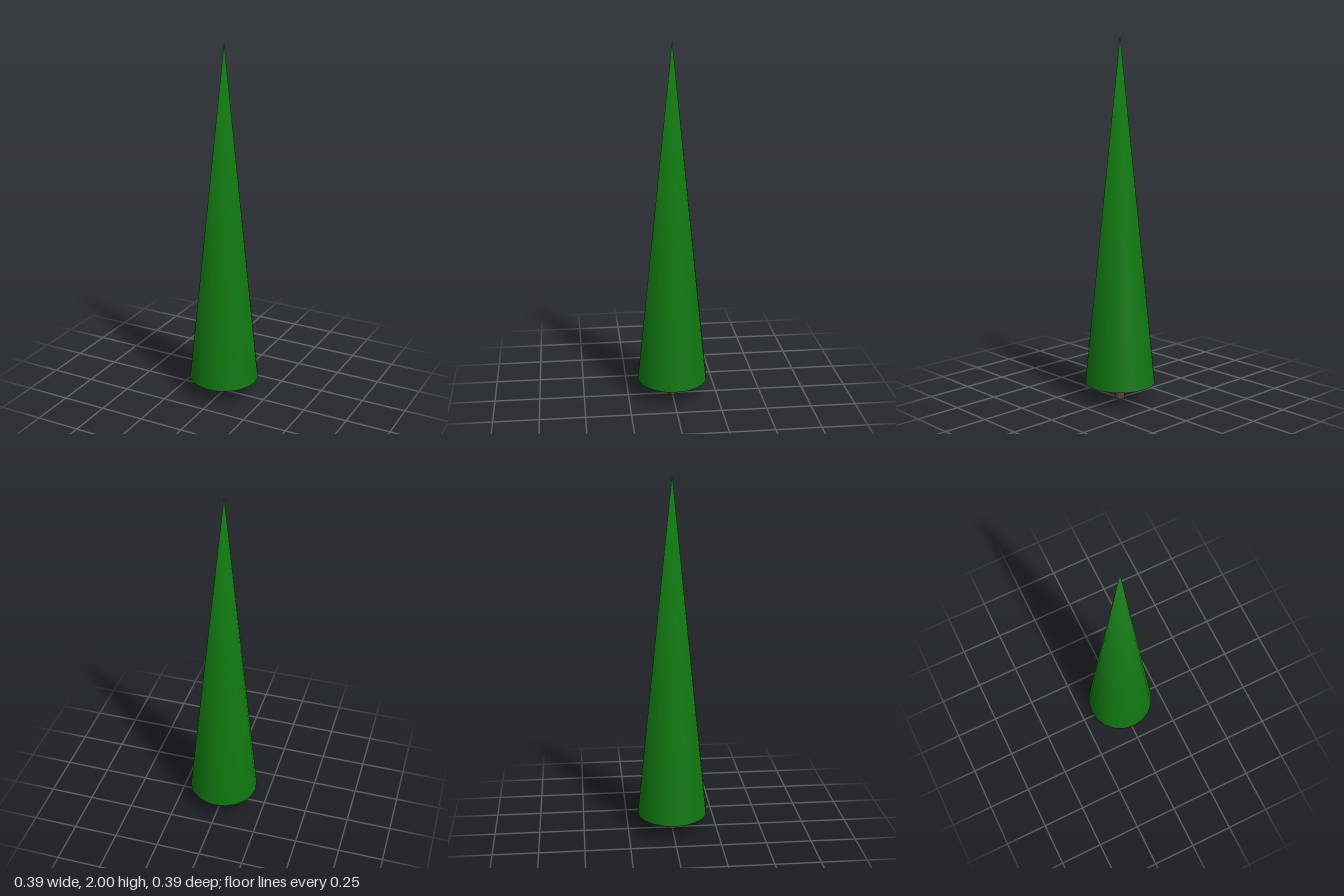
import * as THREE from 'three';
import { mergeVertices } from 'three/addons/utils/BufferGeometryUtils.js';

const SIDES = 20;
const BASE_Y = 0.095;
const TOP_Y = 2;
const RADIUS = 0.195;

export function createModel() {
  const tree = new THREE.Group();
  tree.name = 'tree';

  const green = new THREE.MeshStandardMaterial({ color: 0x107610 });
  const brown = new THREE.MeshStandardMaterial({ color: 0x5d4037 });

  // Foliage cone, welded so the shading runs smoothly over the tip
  const height = TOP_Y - BASE_Y;
  let cone = new THREE.ConeGeometry(RADIUS, height, SIDES, 1, true);
  cone.deleteAttribute('uv');
  cone.deleteAttribute('normal');
  cone = mergeVertices(cone);
  cone.computeVertexNormals();
  const foliage = new THREE.Mesh(cone, green);
  foliage.name = 'foliage';
  foliage.position.y = BASE_Y + height / 2;
  tree.add(foliage);

  // Flat underside with its corners matching the cone's
  const underside = new THREE.Mesh(new THREE.CircleGeometry(RADIUS, SIDES), green);
  underside.name = 'foliageUnderside';
  underside.rotation.x = Math.PI / 2;
  underside.position.y = BASE_Y;
  tree.add(underside);

  // Short trunk
  const trunk = new THREE.Mesh(new THREE.CylinderGeometry(0.025, 0.025, BASE_Y, SIDES), brown);
  trunk.name = 'trunk';
  trunk.position.y = BASE_Y / 2;
  tree.add(trunk);

  return tree;
}
